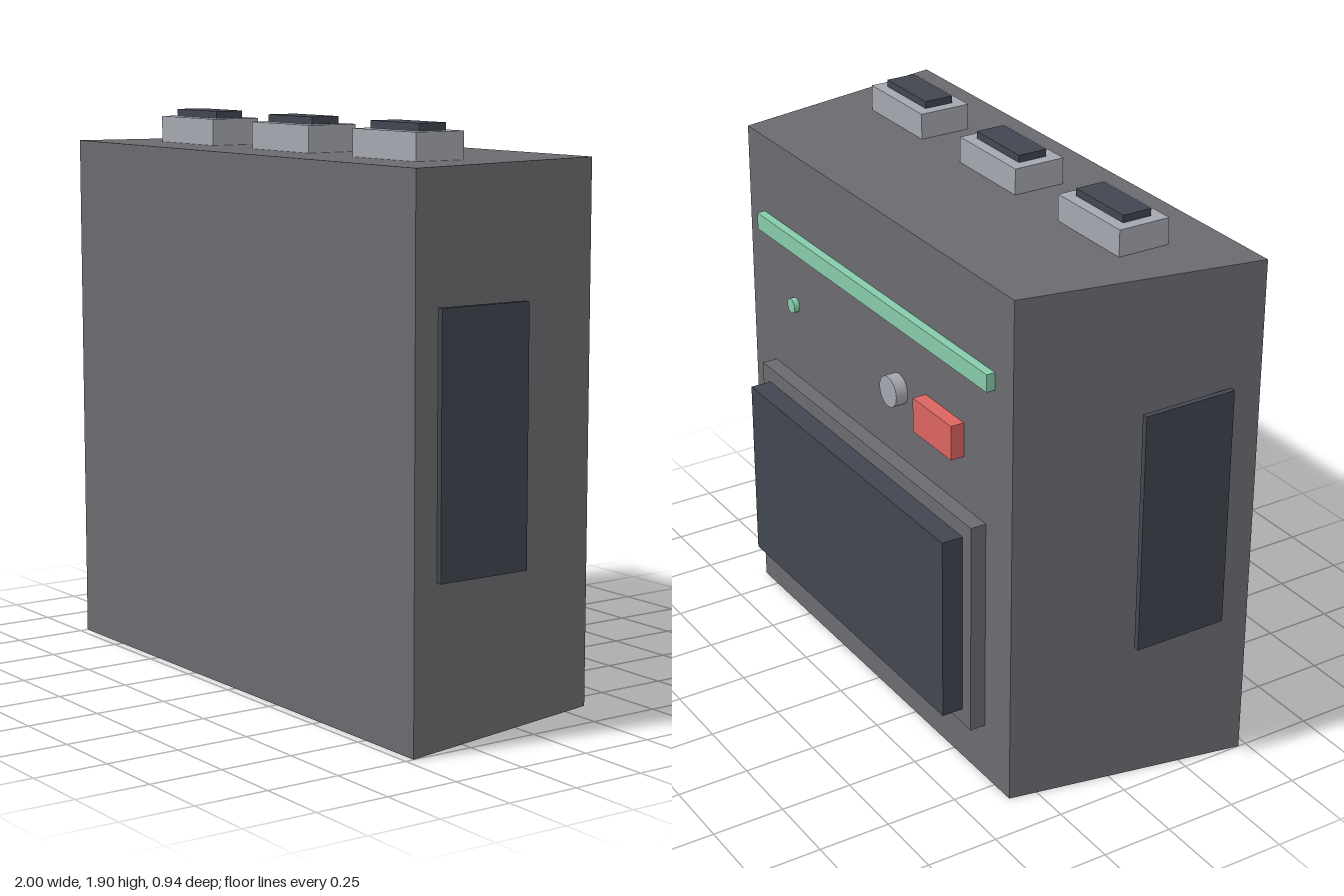
import * as THREE from 'three';

const mat = (name, color) => {
  const m = new THREE.MeshStandardMaterial({ color });
  m.name = name;
  return m;
};

export function createModel() {
  const root = new THREE.Group();
  root.name = 'controlCabinet';
  const casing = mat('casing grey', 0x6b6a6f);
  const dark = mat('dark slate', 0x404650);
  const light = mat('light grey', 0xa4a7af);
  const green = mat('mint green', 0x86cbab);
  const red = mat('signal red', 0xdb6461);

  const add = (name, geometry, material) => {
    const mesh = new THREE.Mesh(geometry, material);
    mesh.name = name;
    root.add(mesh);
    return mesh;
  };
  // Box given by its limits on each axis
  const box = (name, material, [x0, x1], [y0, y1], [z0, z1]) => {
    const mesh = add(name, new THREE.BoxGeometry(x1 - x0, y1 - y0, z1 - z0), material);
    mesh.position.set((x0 + x1) / 2, (y0 + y1) / 2, (z0 + z1) / 2);
    return mesh;
  };
  // Disc on the back face, its axis along z
  const disc = (name, material, x, y, radius, z0, z1) => {
    const geo = new THREE.CylinderGeometry(radius, radius, z1 - z0, 16).rotateX(Math.PI / 2);
    add(name, geo, material).position.set(x, y, (z0 + z1) / 2);
  };

  // Cabinet: a trapezoid plan, narrower at the back
  const H = 1.79, FRONT = 0.47, BACK = -0.345;
  const plan = new THREE.Shape([
    new THREE.Vector2(-1, -FRONT), new THREE.Vector2(1, -FRONT),
    new THREE.Vector2(0.84, -BACK), new THREE.Vector2(-0.84, -BACK),
  ]);
  add('cabinet', new THREE.ExtrudeGeometry(plan, { depth: H, bevelEnabled: false }).rotateX(-Math.PI / 2), casing);

  // Three raised buttons on top
  for (const x of [-0.58, 0, 0.58]) {
    box('topBase', light, [x - 0.167, x + 0.167], [H, 1.88], [0.095, 0.28]);
    box('topCap', dark, [x - 0.127, x + 0.127], [1.88, 1.905], [0.135, 0.24]);
  }

  // Upright side panels
  for (const s of [-1, 1]) {
    box('sidePanel', dark, s < 0 ? [-1, -0.98] : [0.98, 1], [0.53, 1.37], [0.035, 0.37]);
  }

  // Screen in its frame on the back
  box('screenFrame', casing, [-0.69, 0.69], [0.2, 0.96], [-0.4, BACK]);
  box('screen', dark, [-0.64, 0.64], [0.255, 0.905], [-0.475, -0.4]);

  // Light strip, lamp, knob and button above the screen
  box('lightStrip', green, [-0.737, 0.737], [1.45, 1.51], [-0.375, BACK]);
  disc('lamp', green, 0.53, 1.235, 0.026, -0.365, BACK);
  disc('knob', light, -0.165, 1.21, 0.054, -0.388, BACK);
  box('redButton', red, [-0.56, -0.33], [1.14, 1.26], [-0.393, BACK]);

  return root;
}
